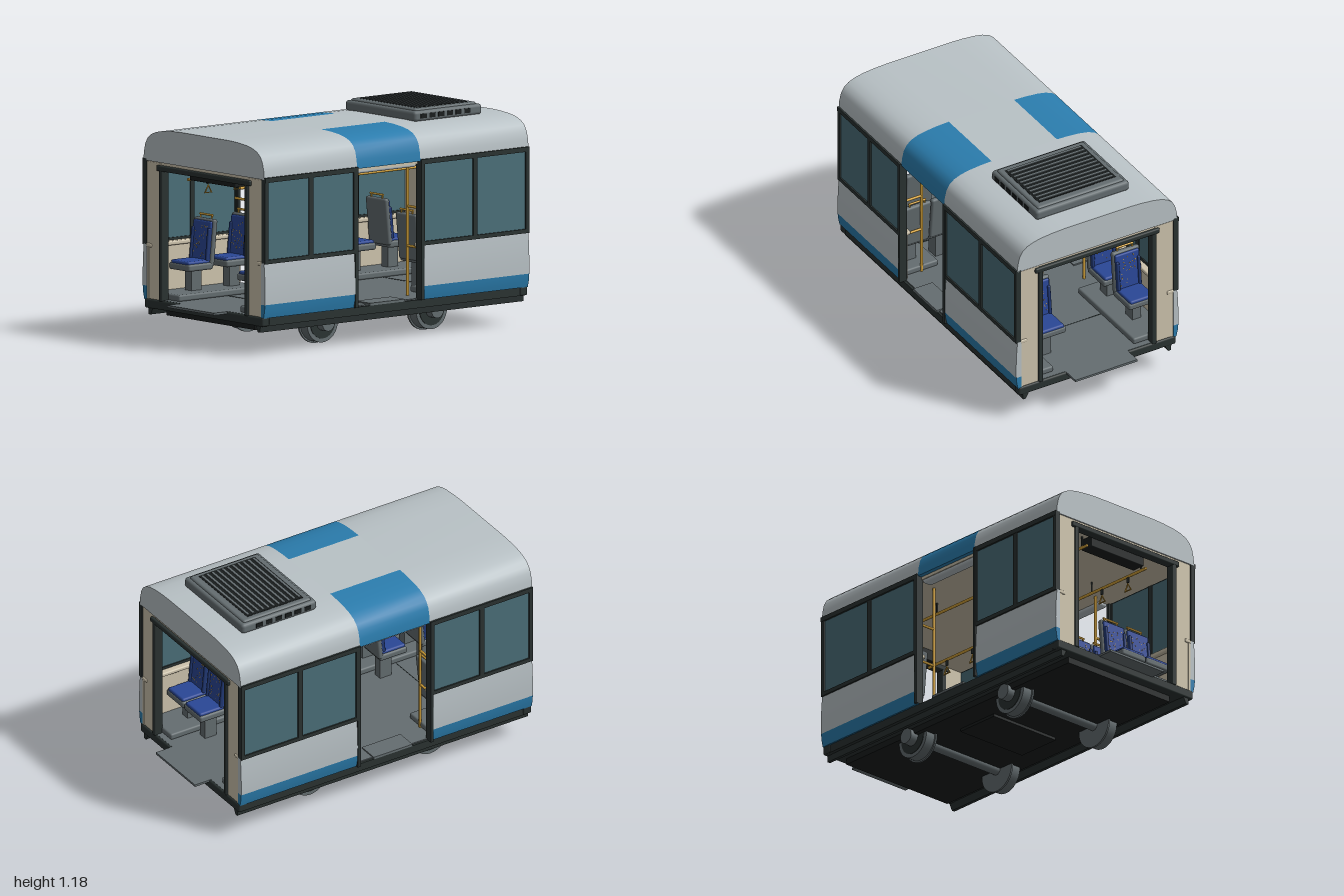
import * as THREE from 'three';
import { mergeGeometries, toCreasedNormals } from 'three/addons/utils/BufferGeometryUtils.js';
import { RoundedBoxGeometry } from 'three/addons/geometries/RoundedBoxGeometry.js';

const material = (name, color) => Object.assign(new THREE.MeshStandardMaterial({ color }), { name });
const M = {
  body: material('light grey paint', 0xb9c2c6),
  blue: material('blue paint', 0x2b7dae),
  glass: material('tinted glass', 0x4b6f79),
  dark: material('dark trim', 0x2a3231),
  black: material('black underside', 0x191d1d),
  grey: material('mid grey', 0x646d70),
  beige: material('beige lining', 0xcec4ad),
  fabric: material('seat fabric', 0x2a4796),
  bolster: material('seat bolster', 0x213874),
  yellow: material('yellow rail', 0xd6a43a),
};

function add(parent, name, geo, mat, x = 0, y = 0, z = 0) {
  const m = new THREE.Mesh(geo, mat);
  m.name = name;
  m.position.set(x, y, z);
  parent.add(m);
  return m;
}

// Box from its bounds, optionally with rounded edges
function box(parent, name, mat, x0, x1, y0, y1, z0, z1, r = 0) {
  const s = [Math.abs(x1 - x0), y1 - y0, Math.abs(z1 - z0)];
  const geo = r ? new RoundedBoxGeometry(...s, 2, r) : new THREE.BoxGeometry(...s);
  return add(parent, name, geo, mat, (x0 + x1) / 2, (y0 + y1) / 2, (z0 + z1) / 2);
}

// Cylinder between two points
function rod(parent, name, mat, a, b, r, sides = 12) {
  const p = new THREE.Vector3(...a), q = new THREE.Vector3(...b), d = q.clone().sub(p);
  const m = add(parent, name, new THREE.CylinderGeometry(r, r, d.length(), sides), mat);
  m.position.copy(p).add(q).multiplyScalar(0.5);
  m.quaternion.setFromUnitVectors(new THREE.Vector3(0, 1, 0), d.normalize());
  return m;
}

// Cross-section in x and y, extruded from z0 to z1
function section(parent, name, mat, pts, z0, z1) {
  const shape = new THREE.Shape(pts.map(([x, y]) => new THREE.Vector2(x, y)));
  const geo = new THREE.ExtrudeGeometry(shape, { depth: z1 - z0, bevelEnabled: false });
  return add(parent, name, toCreasedNormals(geo.translate(0, 0, z0), 0.5), mat);
}

const mirror = pts => pts.map(([x, y]) => [-x, y]).reverse();
const DOOR = [-0.165, 0.27], END = 0.908;

function buildRoof(g) {
  const roof = new THREE.Group();
  roof.name = 'roof';
  g.add(roof);
  const curve = [[0.49, 0.935], [0.486, 0.98], [0.475, 1.025], [0.457, 1.055], [0.43, 1.077],
    [0.39, 1.093], [0.34, 1.103], [0.27, 1.11], [0.2, 1.113]];
  const full = [...curve, ...mirror(curve)];
  section(roof, 'roofFront', M.body, full, DOOR[1], END);
  section(roof, 'roofBack', M.body, full, -END, DOOR[0]);
  section(roof, 'roofCentre', M.body, [[0.2, 0.935], [0.2, 1.113], [-0.2, 1.113], [-0.2, 0.935]], ...DOOR);
  const edge = [...curve, [0.2, 0.935]];
  section(roof, 'doorRoofLeft', M.blue, edge, ...DOOR);
  section(roof, 'doorRoofRight', M.blue, mirror(edge), ...DOOR);
  box(roof, 'ceiling', M.beige, -0.465, 0.465, 0.918, 0.936, -0.9, 0.9);

  // Air conditioning unit with slatted top
  box(roof, 'coolerBase', M.grey, -0.285, 0.285, 1.105, 1.163, -0.765, -0.3, 0.018);
  box(roof, 'coolerTop', M.grey, -0.265, 0.265, 1.13, 1.173, -0.745, -0.32, 0.014);
  box(roof, 'coolerGrille', M.black, -0.236, 0.236, 1.165, 1.1745, -0.705, -0.355);
  for (let i = 0; i < 11; i++) {
    const z = -0.69 + i * 0.032;
    box(roof, 'coolerSlat', M.grey, -0.225, 0.225, 1.17, 1.178, z - 0.006, z + 0.006);
  }
  for (const s of [-1, 1]) for (let i = 0; i < 6; i++) {
    const z = -0.68 + i * 0.06;
    box(roof, 'coolerVent', M.black, s * 0.27, s * 0.288, 1.123, 1.147, z, z + 0.04);
  }
}

// One side wall stretch, between z0 and z1
function buildSide(g, s, z0, z1) {
  const wall = new THREE.Group();
  wall.name = s > 0 ? 'leftWall' : 'rightWall';
  g.add(wall);
  const side = pts => (s > 0 ? pts : mirror(pts));
  section(wall, 'sidePanel', M.body, side([[0.465, 0.272], [0.496, 0.272], [0.497, 0.33], [0.494, 0.42], [0.488, 0.492], [0.465, 0.492]]), z0, z1);
  section(wall, 'sideStripe', M.blue, side([[0.465, 0.2], [0.484, 0.2], [0.492, 0.235], [0.496, 0.272], [0.465, 0.272]]), z0, z1);
  box(wall, 'wallLining', M.beige, s * 0.45, s * 0.466, 0.2, 0.49, z0 + 0.002, z1 - 0.002);
  box(wall, 'windowSill', M.beige, s * 0.428, s * 0.468, 0.475, 0.498, z0 + 0.002, z1 - 0.002, 0.008);
  // Window band
  box(wall, 'windowGlass', M.glass, s * 0.472, s * 0.489, 0.5, 0.93, z0 + 0.01, z1 - 0.01);
  box(wall, 'windowFrameBottom', M.dark, s * 0.466, s * 0.497, 0.488, 0.51, z0, z1);
  box(wall, 'windowFrameTop', M.dark, s * 0.466, s * 0.499, 0.919, 0.945, z0, z1);
  const mid = (z0 + z1) / 2;
  for (const [a, b] of [[z0, z0 + 0.022], [mid - 0.014, mid + 0.014], [z1 - 0.022, z1]])
    box(wall, 'windowPillar', M.dark, s * 0.466, s * 0.497, 0.49, 0.94, a, b);
}

function buildDoorway(g, s) {
  const door = new THREE.Group();
  door.name = 'doorway';
  g.add(door);
  for (const [z, d] of [[DOOR[0], -1], [DOOR[1], 1]]) {
    box(door, 'doorJamb', M.dark, s * 0.455, s * 0.5, 0.2, 0.945, z, z + d * 0.018);
    const pz = z + d * 0.032;
    rod(door, 'grabPole', M.yellow, [s * 0.347, 0.2, pz], [s * 0.347, 0.92, pz], 0.008);
    for (const y of [0.47, 0.68])
      rod(door, 'grabBar', M.yellow, [s * 0.347, y, pz], [s * 0.46, y, pz], 0.007);
  }
  box(door, 'doorMechanism', M.body, s * 0.4, s * 0.46, 0.902, 0.938, ...DOOR, 0.012);
  box(door, 'doorStep', M.grey, s * 0.36, s * 0.478, 0.2, 0.213, -0.07, 0.17);
}

function buildEnd(g, s) {
  const end = new THREE.Group();
  end.name = s > 0 ? 'frontEnd' : 'backEnd';
  g.add(end);
  for (const k of [-1, 1]) {
    box(end, 'endWall', M.beige, k * 0.355, k * 0.467, 0.205, 0.93, s * 0.87, s * 0.903);
    box(end, 'endPost', M.dark, k * 0.333, k * 0.36, 0.2, 0.9, s * 0.865, s * 0.915, 0.006);
    box(end, 'cornerClip', M.beige, k * 0.428, k * 0.47, 0.477, 0.498, s * 0.89, s * 0.909, 0.007);
  }
  box(end, 'endHeader', M.dark, -0.38, 0.38, 0.89, 0.92, s * 0.865, s * 0.917, 0.008);
  box(end, 'displayBox', M.black, -0.185, 0.185, 0.855, 0.92, s * 0.77, s * 0.85, 0.006);
  box(end, 'bufferBeam', M.dark, -0.48, 0.48, 0.155, 0.205, s * 0.86, s * 0.912, 0.01);
  box(end, 'gangwayPlate', M.grey, -0.19, 0.19, 0.194, 0.206, s * 0.9, s * 1.0);
}

function buildChassis(g) {
  box(g, 'floorFrame', M.dark, -0.475, 0.475, 0.156, 0.2, -0.905, 0.905);
  box(g, 'floor', M.grey, -0.462, 0.462, 0.198, 0.206, -0.9, 0.9);
  box(g, 'underside', M.black, -0.36, 0.36, 0.122, 0.16, -0.86, 0.86);
  box(g, 'bellyBox', M.black, -0.22, 0.22, 0.107, 0.13, -0.13, 0.13);
  for (const s of [-1, 1]) {
    const skirt = [[0.415, 0.16], [0.435, 0.122], [0.452, 0.122], [0.455, 0.16]];
    section(g, 'sideSkirt', M.dark, s > 0 ? skirt : mirror(skirt), -0.905, 0.905);
    for (const k of [-1, 1]) {
      box(g, 'wheelCover', M.grey, s * 0.245, s * 0.455, 0.205, 0.24, k * 0.3, k * 0.87, 0.01);
      // Wheel with flange and axle box
      const z = k * 0.375, y = 0.115;
      const disc = (name, mat, x0, x1, r) => rod(g, name, mat, [s * x0, y, z], [s * x1, y, z], r, 32);
      disc('wheelFlange', M.grey, 0.265, 0.276, 0.115);
      disc('wheel', M.grey, 0.276, 0.333, 0.106);
      disc('wheelRing', M.dark, 0.333, 0.336, 0.085);
      disc('wheelHub', M.grey, 0.333, 0.383, 0.042);
    }
  }
  for (const k of [-1, 1]) {
    rod(g, 'axle', M.grey, [-0.28, 0.12, k * 0.375], [0.28, 0.12, k * 0.375], 0.027, 20);
    box(g, 'floorSeam', M.dark, -0.245, 0.245, 0.204, 0.2075, k * 0.53, k * 0.534);
  }
}

// Small seeded generator for the fabric pattern
let seed = 7;
const rnd = () => (seed = (seed * 16807) % 2147483647) / 2147483647;

// Seat facing +z
function buildSeat(x, z, turn) {
  const seat = new THREE.Group();
  seat.name = 'seat';
  seat.position.set(x, 0, z);
  seat.rotation.y = turn;
  box(seat, 'seatPedestal', M.grey, -0.026, 0.026, 0.2, 0.36, 0.02, 0.09);
  box(seat, 'seatPan', M.grey, -0.083, 0.083, 0.35, 0.388, -0.015, 0.155, 0.012);
  box(seat, 'seatCushion', M.fabric, -0.073, 0.073, 0.375, 0.402, 0, 0.15, 0.01);
  const back = new THREE.Group();
  back.name = 'seatBack';
  back.position.set(0, 0.365, 0);
  back.rotation.x = -0.1;
  seat.add(back);
  box(back, 'backShell', M.grey, -0.083, 0.083, 0, 0.25, -0.022, 0.008, 0.012);
  box(back, 'backCushion', M.fabric, -0.073, 0.073, 0.02, 0.237, 0, 0.02, 0.008);
  for (const k of [-1, 1]) {
    box(back, 'backBolster', M.bolster, k * 0.056, k * 0.073, 0.03, 0.2, 0.005, 0.03, 0.006);
    rod(back, 'handleStem', M.yellow, [k * 0.045, 0.24, -0.008], [k * 0.045, 0.268, -0.008], 0.005, 8);
  }
  rod(back, 'seatHandle', M.yellow, [-0.052, 0.268, -0.008], [0.052, 0.268, -0.008], 0.006, 8);
  const specks = [];
  for (let i = 0; i < 26; i++) {
    const speck = new THREE.BoxGeometry(0.007, 0.003, 0.002).rotateZ(rnd() * 3);
    specks.push(speck.translate((rnd() - 0.5) * 0.1, 0.05 + rnd() * 0.17, 0.02));
  }
  add(back, 'fabricSpecks', mergeGeometries(specks), M.yellow);
  return seat;
}

function buildRails(g) {
  for (const s of [-1, 1]) {
    const x = s * 0.21;
    rod(g, 'ceilingRail', M.yellow, [x, 0.855, -0.84], [x, 0.855, 0.84], 0.008);
    for (const z of [-0.8, -0.32, 0.42, 0.8]) rod(g, 'railHanger', M.dark, [x, 0.85, z], [x, 0.92, z], 0.005, 8);
    // Hanging hand loops
    for (const z of [-0.7, -0.5, 0.5, 0.7]) {
      box(g, 'loopStrap', M.dark, x - 0.004, x + 0.004, 0.82, 0.862, z - 0.008, z + 0.008);
      const loop = add(g, 'handLoop', new THREE.TorusGeometry(0.026, 0.005, 8, 3), M.yellow, x, 0.787, z);
      loop.rotation.set(0, Math.PI / 2, Math.PI / 2, 'YXZ');
    }
  }
}

export function createModel() {
  const g = new THREE.Group();
  g.name = 'tramSection';
  buildChassis(g);
  buildRoof(g);
  for (const s of [-1, 1]) {
    buildSide(g, s, DOOR[1] + 0.004, END);
    buildSide(g, s, -END, DOOR[0] - 0.004);
    buildDoorway(g, s);
    buildEnd(g, s);
    // Rows of seats facing away from the doors
    for (const z of [0.36, 0.62]) for (const x of [-0.36, 0.19, 0.36])
      g.add(buildSeat(x, s * z, s > 0 ? 0 : Math.PI));
  }
  buildRails(g);
  return g;
}
